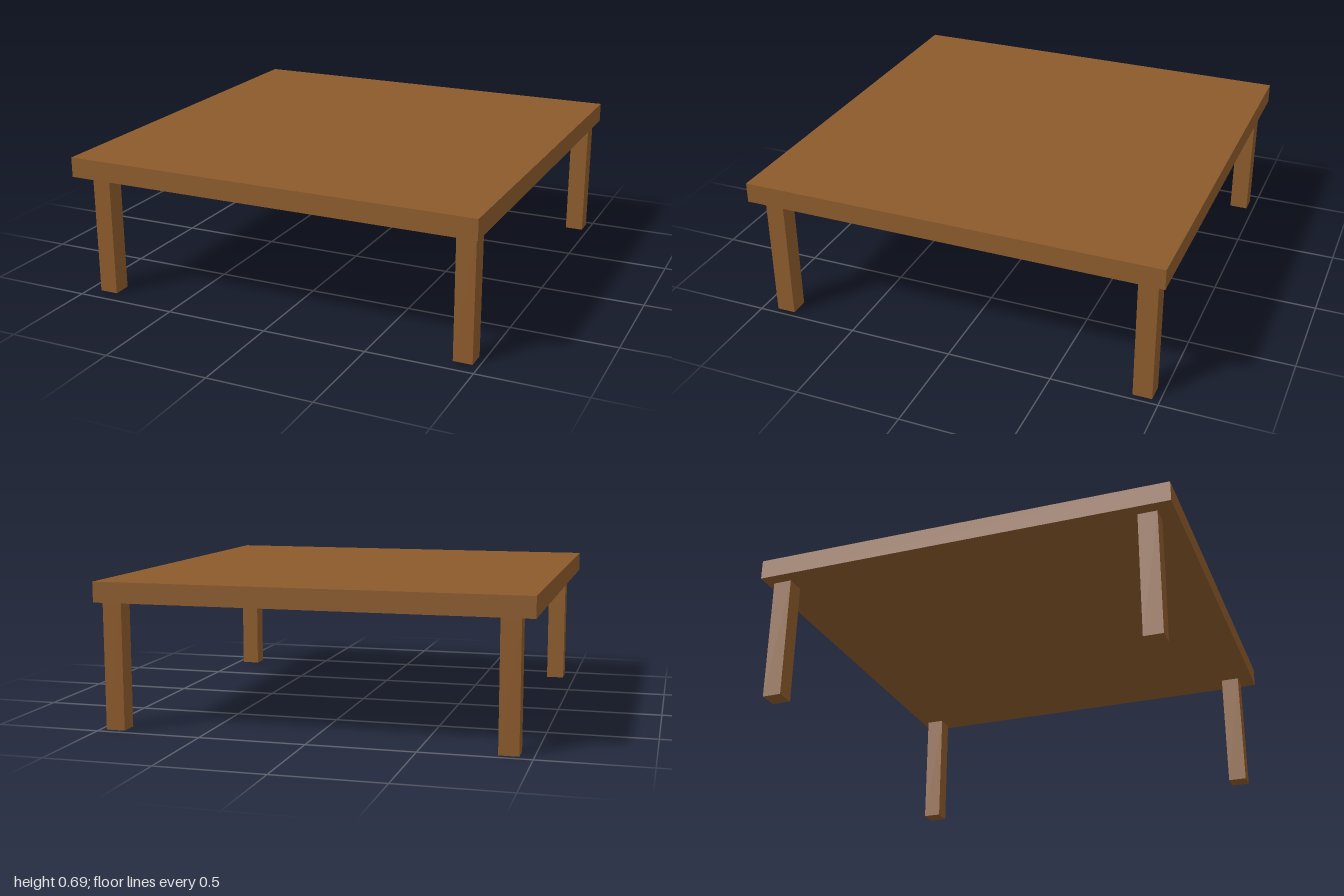
import * as THREE from 'three';

export function createModel() {
  const table = new THREE.Group();
  table.name = 'table';
  const wood = new THREE.MeshStandardMaterial({ color: 0x8b5a2b, flatShading: true });

  const addBox = (name, size, position) => {
    const mesh = new THREE.Mesh(new THREE.BoxGeometry(...size), wood);
    mesh.name = name;
    mesh.position.set(...position);
    table.add(mesh);
  };

  // Square slab top
  const legHeight = 0.595;
  const topThickness = 0.095;
  addBox('tableTop', [2, topThickness, 2], [0, legHeight + topThickness / 2, 0]);

  // Four square legs, set slightly off centre under the top
  const legWidth = 0.09;
  const legs = [
    ['frontLeftLeg', 0.925, 0.88],
    ['frontRightLeg', -0.895, 0.88],
    ['backLeftLeg', 0.925, -0.92],
    ['backRightLeg', -0.892, -0.92],
  ];
  for (const [name, x, z] of legs) {
    addBox(name, [legWidth, legHeight, legWidth], [x, legHeight / 2, z]);
  }

  return table;
}
